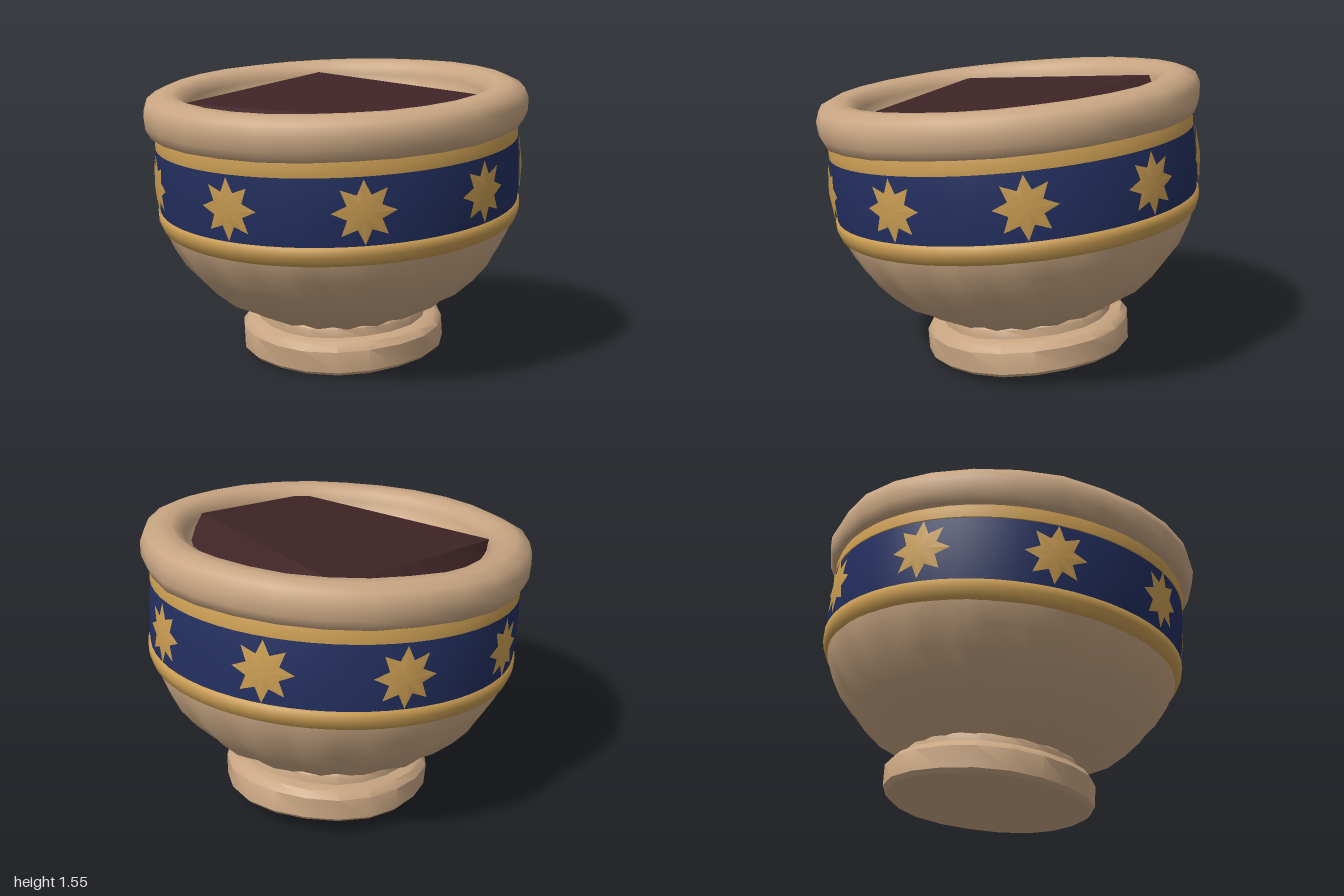
import * as THREE from 'three';
import { mergeVertices, toCreasedNormals } from 'three/addons/utils/BufferGeometryUtils.js';

const mat = (name, color) => {
  const m = new THREE.MeshStandardMaterial({ color });
  m.name = name;
  return m;
};

// Turned shape from [radius, height] pairs; warp(angle, height, radius) adds hand-made unevenness
function turned(name, material, profile, segments, warp, crease = 0.7) {
  let geo = new THREE.LatheGeometry(profile.map(([r, h]) => new THREE.Vector2(r, h)), segments);
  geo.deleteAttribute('uv');
  geo.deleteAttribute('normal');
  const p = geo.attributes.position;
  if (warp) {
    for (let i = 0; i < p.count; i++) {
      const x = p.getX(i), y = p.getY(i), z = p.getZ(i), r = Math.hypot(x, z);
      if (r < 0.01) continue;
      const k = 1 + warp(Math.atan2(x, z), y, r) / r;
      p.setXYZ(i, x * k, y, z * k);
    }
  }
  geo = mergeVertices(geo, 1e-4);
  geo = toCreasedNormals(geo, crease);
  const mesh = new THREE.Mesh(geo, material);
  mesh.name = name;
  return mesh;
}

// Eight-pointed star bent around the band, slightly puffed in the middle
function star(material, angle, height, bandRadius) {
  const geo = new THREE.CircleGeometry(1, 16);
  const p = geo.attributes.position;
  for (let i = 0; i < p.count; i++) {
    const tip = i % 2 === 1; // vertex 0 is the centre
    const s = i === 0 ? 0 : tip ? 0.155 : 0.088;
    const a = angle + p.getX(i) * s / bandRadius;
    const r = bandRadius + (i === 0 ? 0.022 : 0.007);
    p.setXYZ(i, Math.sin(a) * r, height + p.getY(i) * s, Math.cos(a) * r);
  }
  geo.computeVertexNormals();
  const mesh = new THREE.Mesh(geo, material);
  mesh.name = 'star';
  return mesh;
}

// Flat four-cornered soil surface with sides sloping down towards the wall
function soil(material) {
  const corners = [[-0.37, -0.68], [-0.67, 0.42], [0.55, 0.6], [0.77, -0.08]];
  const top = 1.36, steps = 8, v = [];
  const inner = [], outer = [];
  corners.forEach(([x0, z0], c) => {
    const [x1, z1] = corners[(c + 1) % 4];
    for (let i = 0; i < steps; i++) {
      const t = i / steps, x = x0 + (x1 - x0) * t, z = z0 + (z1 - z0) * t;
      const r = Math.hypot(x, z), k = Math.max(0.82, r) / r;
      inner.push([x, top, z]);
      outer.push([Math.max(x * k, -0.67), top - (r * k - r) * 0.5, z * k]);
    }
  });
  const n = inner.length;
  for (let i = 0; i < n; i++) {
    const j = (i + 1) % n;
    v.push(0, top, 0, ...inner[i], ...inner[j]);
    v.push(...inner[i], ...outer[i], ...outer[j], ...inner[i], ...outer[j], ...inner[j]);
  }
  const geo = new THREE.BufferGeometry();
  geo.setAttribute('position', new THREE.Float32BufferAttribute(v, 3));
  geo.computeVertexNormals();
  const mesh = new THREE.Mesh(geo, material);
  mesh.name = 'soil';
  return mesh;
}

export function createModel() {
  const clay = mat('clay', 0xc9a683);
  const gold = mat('gold', 0xc99c52);
  const blue = mat('blue glaze', 0x232f5f);
  const earth = mat('soil', 0x3f2426);
  earth.side = THREE.DoubleSide;

  const pot = new THREE.Group();
  pot.name = 'pot';

  // Foot and neck
  pot.add(turned('foot', clay,
    [[0, 0], [0.52, 0], [0.54, 0.02], [0.54, 0.13], [0.51, 0.165], [0.455, 0.175], [0.45, 0.22], [0.42, 0.25], [0.45, 0.27]],
    20, (a, h) => 0.006 * Math.sin(5 * a + 9 * h)));

  // Bowl with soft folds that fade out towards the band
  pot.add(turned('bowl', clay,
    [[0.4, 0.2], [0.5, 0.255], [0.64, 0.33], [0.74, 0.42], [0.82, 0.51], [0.88, 0.61], [0.92, 0.7], [0.925, 0.73]],
    72, (a, h) => 0.014 * Math.sin(18 * a) * Math.min(1, (0.72 - h) / 0.25) * (h < 0.72 ? 1 : 0), 1.2));

  // Gold trims and blue band
  pot.add(turned('lowerTrim', gold,
    [[0.91, 0.7], [0.935, 0.715], [0.952, 0.76], [0.953, 0.8], [0.935, 0.81]], 64, null, 1.2));
  pot.add(turned('band', blue,
    [[0.94, 0.79], [0.948, 0.88], [0.948, 1.06], [0.938, 1.15]], 64, null, 1.2));
  pot.add(turned('upperTrim', gold,
    [[0.92, 1.13], [0.945, 1.135], [0.945, 1.18], [0.93, 1.23]], 64, null, 1.2));

  // Ring of nine stars
  const stars = new THREE.Group();
  stars.name = 'stars';
  for (let i = 0; i < 9; i++) {
    stars.add(star(gold, THREE.MathUtils.degToRad(-11 + 40 * i), 0.97, 0.948));
  }
  pot.add(stars);

  // Thick rim, running down into the inner wall
  pot.add(turned('rim', clay,
    [[0.92, 1.2], [0.965, 1.21], [0.988, 1.26], [0.993, 1.33], [0.972, 1.385], [0.91, 1.413],
      [0.84, 1.41], [0.79, 1.385], [0.775, 1.34], [0.76, 1.27], [0.62, 1.2]],
    28, (a, h) => 0.005 * Math.sin(7 * a + 6 * h) + 0.003 * Math.sin(12 * a), 1.2));

  pot.add(soil(earth));

  // The whole pot leans forward
  pot.rotation.x = 0.1;
  pot.position.set(0, 0.054, -0.135);

  const model = new THREE.Group();
  model.name = 'leaningPot';
  model.add(pot);
  return model;
}
